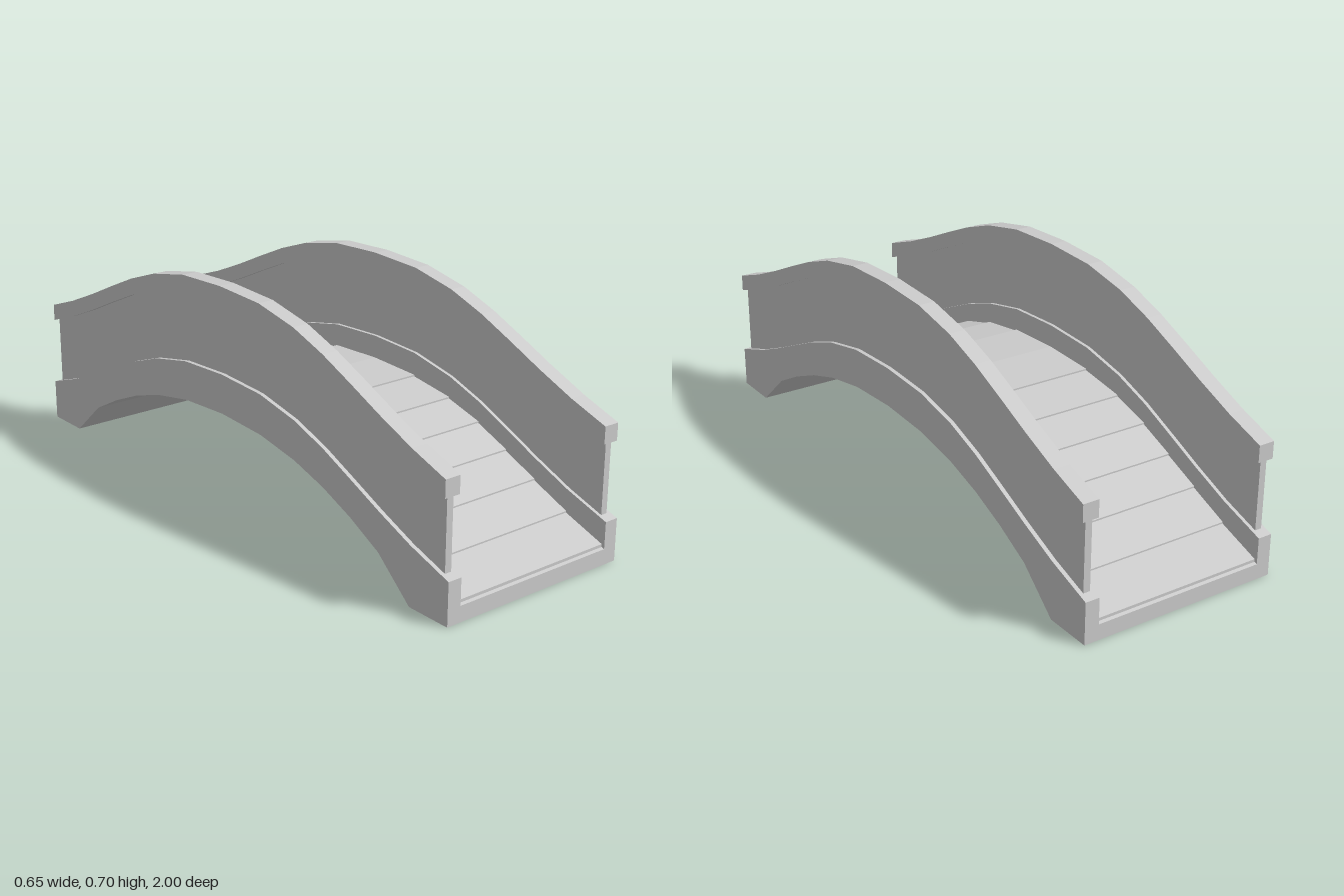
import * as THREE from 'three';

// Stations along half of the span, from the middle to one end
const Z = [0, 0.19, 0.35, 0.48, 0.6, 0.72, 0.85, 1];
const ARCH = [0.305, 0.295, 0.266, 0.226, 0.176, 0.114, 0, 0];
const DECK = [0.357, 0.347, 0.319, 0.278, 0.225, 0.17, 0.112, 0.059];
const CURB = [0.43, 0.421, 0.388, 0.343, 0.29, 0.236, 0.182, 0.132];
const RAIL = [0.705, 0.697, 0.665, 0.62, 0.568, 0.514, 0.46, 0.408];

const material = new THREE.MeshStandardMaterial({ color: 0xcccccc, flatShading: true });

// Half curve as [z, y] points, cut off at zEnd and shifted by dy
function half(heights, zEnd = 1, dy = 0) {
  const n = Z.length - 1;
  const t = (zEnd - Z[n - 1]) / (Z[n] - Z[n - 1]);
  return Z.map((z, i) => i < n
    ? [z, heights[i] + dy]
    : [zEnd, heights[n - 1] + t * (heights[n] - heights[n - 1]) + dy]);
}

// Mirrors a half curve to run from -z to +z
function full(points) {
  const mirrored = points.filter(([z]) => z > 0).map(([z, y]) => [-z, y]).reverse();
  return [...mirrored, ...points];
}

// Solid between two side curves, spanning x0 to x1
function slab(name, lower, upper, x0, x1) {
  const outline = [...full(lower), ...full(upper).reverse()].map(([z, y]) => new THREE.Vector2(z, y));
  const geometry = new THREE.ExtrudeGeometry(new THREE.Shape(outline), { depth: x1 - x0, bevelEnabled: false });
  geometry.rotateY(Math.PI / 2);
  geometry.translate(x0, 0, 0);
  const mesh = new THREE.Mesh(geometry, material);
  mesh.name = name;
  return mesh;
}

// Deck surface: sloping planks with a small riser at each joint and a lip at the end
function plankedDeck() {
  const step = 0.0025;
  const points = [[0, DECK[0]]];
  for (let i = 1; i < Z.length - 1; i++) {
    points.push([Z[i], DECK[i] + step], [Z[i], DECK[i] - step]);
  }
  points.push([0.99, 0.061], [0.99, 0.052], [1, 0.049]);
  return points;
}

export function createModel() {
  const bridge = new THREE.Group();
  bridge.name = 'archedBridge';

  bridge.add(slab('deck', half(ARCH), plankedDeck(), -0.279, 0.279));

  // Curb, wall panel and handrail on both sides
  for (const side of [-1, 1]) {
    const label = side > 0 ? 'left' : 'right';
    const add = (part, lower, upper, inner, outer) => {
      const [x0, x1] = side > 0 ? [inner, outer] : [-outer, -inner];
      bridge.add(slab(label + part, lower, upper, x0, x1));
    };
    add('Curb', half(ARCH), half(CURB), 0.279, 0.325);
    add('Panel', half(CURB, 0.972, -0.01), half(RAIL, 0.972, -0.04), 0.29, 0.312);
    add('Handrail', half(RAIL, 0.98, -0.054), half(RAIL, 0.98), 0.275, 0.327);
  }
  return bridge;
}
